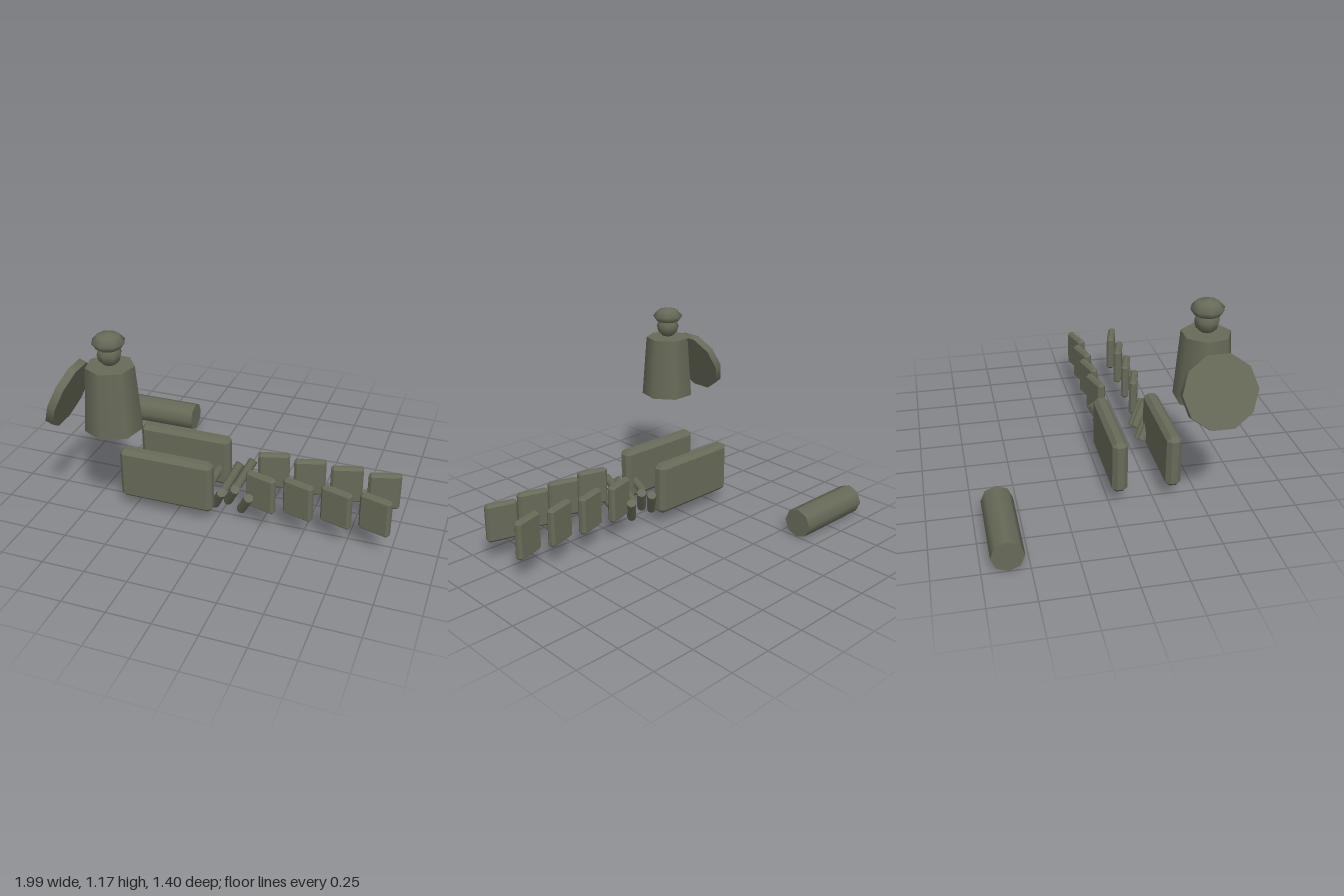
import * as THREE from 'three';
import { ConvexGeometry } from 'three/addons/geometries/ConvexGeometry.js';

const olive = new THREE.MeshStandardMaterial({ color: 0x676a58 });
olive.name = 'olive drab';

// Box whose twelve edges are cut by a flat chamfer c
function chamferBox(w, h, d, c) {
  const [a, b, e] = [w / 2, h / 2, d / 2];
  const points = [];
  for (const x of [-1, 1]) for (const y of [-1, 1]) for (const z of [-1, 1]) {
    points.push(
      new THREE.Vector3(x * a, y * (b - c), z * (e - c)),
      new THREE.Vector3(x * (a - c), y * b, z * (e - c)),
      new THREE.Vector3(x * (a - c), y * (b - c), z * e));
  }
  return new ConvexGeometry(points);
}

export function createModel() {
  const model = new THREE.Group();
  model.name = 'vehicleParts';

  function add(parent, name, geometry, x, y, z) {
    const mesh = new THREE.Mesh(geometry, olive);
    mesh.name = name;
    mesh.position.set(x, y, z);
    parent.add(mesh);
    return mesh;
  }

  // Loose drum lying along x
  add(model, 'rearDrum', new THREE.CylinderGeometry(0.0875, 0.0875, 0.5, 8), -0.75, 0.0875, -0.614)
    .rotation.z = Math.PI / 2;

  // Crew figure: tapered torso, round head, flat cap
  const crew = new THREE.Group();
  crew.name = 'crewFigure';
  crew.position.set(-0.522, 0, 0.503);
  model.add(crew);
  add(crew, 'torso', new THREE.CylinderGeometry(0.133, 0.161, 0.37, 7), 0, 0.8, 0);
  add(crew, 'head', new THREE.SphereGeometry(0.068, 8, 6), 0, 1.053, 0);
  const capProfile = [[0, 1.082], [0.068, 1.087], [0.092, 1.121], [0.06, 1.157], [0, 1.17]]
    .map(([r, y]) => new THREE.Vector2(r, y));
  add(crew, 'cap', new THREE.LatheGeometry(capProfile, 8), 0, 0, 0);

  // Tilted round hatch lid
  add(model, 'hatchLid', new THREE.CylinderGeometry(0.2, 0.2, 0.045, 10), -0.783, 0.775, 0.503)
    .rotation.z = -1.945;

  // Side armour, mirrored about z = 0.205
  const sidePlate = chamferBox(0.557, 0.31, 0.086, 0.024);
  const skirtPlate = chamferBox(0.182, 0.225, 0.048, 0.014);
  const tube = new THREE.CylinderGeometry(0.027, 0.027, 0.176, 8);
  const up = new THREE.Vector3(0, 1, 0);
  for (const side of [-1, 1]) {
    const row = new THREE.Group();
    row.name = side > 0 ? 'frontRow' : 'backRow';
    row.position.z = 0.205;
    model.add(row);

    add(row, 'sidePlate', sidePlate, -0.289, 0.235, side * 0.15);

    const axis = new THREE.Vector3(0.07, 0.14, side * 0.08).normalize();
    for (let i = 0; i < 4; i++) {
      // Angled skirt plates
      add(row, 'skirtPlate', skirtPlate, 0.263 + i * 0.2135, 0.248, side * 0.12)
        .rotation.y = -side * 0.28;
      // Splayed launcher tubes at alternating heights
      add(row, 'launcherTube', tube, -0.07 + i * 0.08, i % 2 ? 0.15 : 0.19, side * 0.122)
        .quaternion.setFromUnitVectors(up, axis);
    }
  }
  return model;
}
